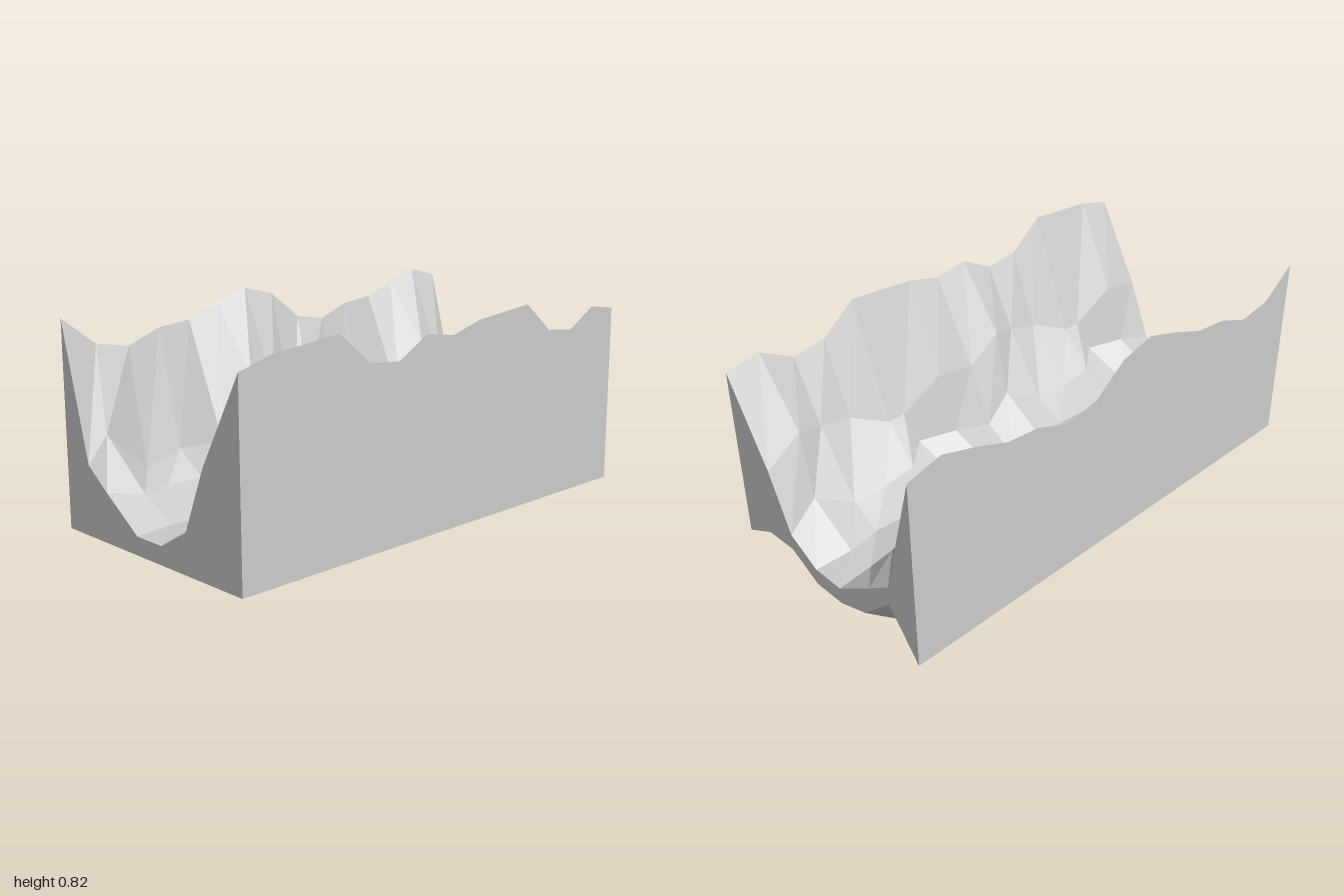
import * as THREE from 'three';

const N = 7;             // cells per side of one tile
const STEP = 1 / N;

// Cross-sections of the valley, one row per step in z; the last row repeats the first.
const X = [
  [-0.5, -0.36, -0.25, -0.07, 0.07, 0.21, 0.31, 0.5],
  [-0.5, -0.32, -0.18, -0.07, 0.045, 0.25, 0.33, 0.5],
  [-0.5, -0.30, -0.18, -0.07, 0.075, 0.20, 0.37, 0.5],
  [-0.5, -0.27, -0.20, -0.10, 0.045, 0.19, 0.38, 0.5],
  [-0.5, -0.39, -0.26, -0.09, 0.06, 0.19, 0.32, 0.5],
  [-0.5, -0.41, -0.28, -0.055, 0.07, 0.27, 0.32, 0.5],
  [-0.5, -0.36, -0.22, -0.07, 0.04, 0.21, 0.28, 0.5],
];
const Y = [
  [0.79, 0.27, 0.19, 0.07, 0.07, 0.15, 0.39, 0.73],
  [0.825, 0.41, 0.22, 0.085, 0.09, 0.22, 0.47, 0.75],
  [0.78, 0.51, 0.23, 0.105, 0.08, 0.15, 0.42, 0.67],
  [0.725, 0.28, 0.17, 0.09, 0.10, 0.15, 0.38, 0.685],
  [0.71, 0.25, 0.16, 0.09, 0.09, 0.17, 0.32, 0.80],
  [0.655, 0.19, 0.15, 0.08, 0.08, 0.20, 0.32, 0.785],
  [0.68, 0.37, 0.16, 0.08, 0.09, 0.21, 0.45, 0.77],
];
// Shifts in z of single points, keyed by row and column
const SHIFT = { '1,2': 0.02, '1,6': 0.02, '2,2': 0.05, '3,1': 0.03, '3,2': 0.02,
  '5,5': -0.04, '5,6': -0.07, '6,1': 0.06, '6,5': -0.04, '6,6': -0.06 };

// Hollows in the underside, near the back edge of the tile
const HOLLOW = [
  [0, 0.19, 0.05, 0, 0, 0.08, 0.075, 0],
  [0, 0, 0, 0, 0, 0.04, 0.04, 0],
];

// Faceted sheet through rows of points
function sheet(name, rows, material) {
  const cols = rows[0].length;
  const index = [];
  for (let i = 0; i < rows.length - 1; i++) {
    for (let j = 0; j < cols - 1; j++) {
      const a = i * cols + j, b = a + cols, c = b + 1, d = a + 1;
      index.push(a, b, c, a, c, d);
    }
  }
  const geometry = new THREE.BufferGeometry().setFromPoints(rows.flat());
  geometry.setIndex(index);
  geometry.computeVertexNormals();
  const mesh = new THREE.Mesh(geometry, material);
  mesh.name = name;
  return mesh;
}

// One closed block of the valley, from z = 0 to z = 1
function makeTile(material) {
  const top = [], bottom = [];
  for (let i = 0; i <= N; i++) {
    const r = i % N;
    top.push(X[r].map((x, j) =>
      new THREE.Vector3(x, Y[r][j], i * STEP + (SHIFT[`${r},${j}`] ?? 0))));
    bottom.push(X[r].map((_, j) =>
      new THREE.Vector3(-0.5 + j * STEP, HOLLOW[i]?.[j] ?? 0, i * STEP)));
  }
  const column = (grid, j) => grid.map(row => row[j]);
  const tile = new THREE.Group();
  tile.add(
    sheet('valleySurface', top, material),
    sheet('underside', [...bottom].reverse(), material),
    sheet('frontWall', [top[N], bottom[N]], material),
    sheet('backWall', [bottom[0], top[0]], material),
    sheet('leftWall', [column(bottom, N), column(top, N)], material),
    sheet('rightWall', [column(top, 0), column(bottom, 0)], material),
  );
  return tile;
}

export function createModel() {
  const material = new THREE.MeshStandardMaterial({ color: 0xcccccc, flatShading: true });
  const model = new THREE.Group();
  model.name = 'valley';
  // Two identical tiles in a row
  ['backTile', 'frontTile'].forEach((name, k) => {
    const tile = makeTile(material);
    tile.name = name;
    tile.position.z = k - 1;
    model.add(tile);
  });
  return model;
}
